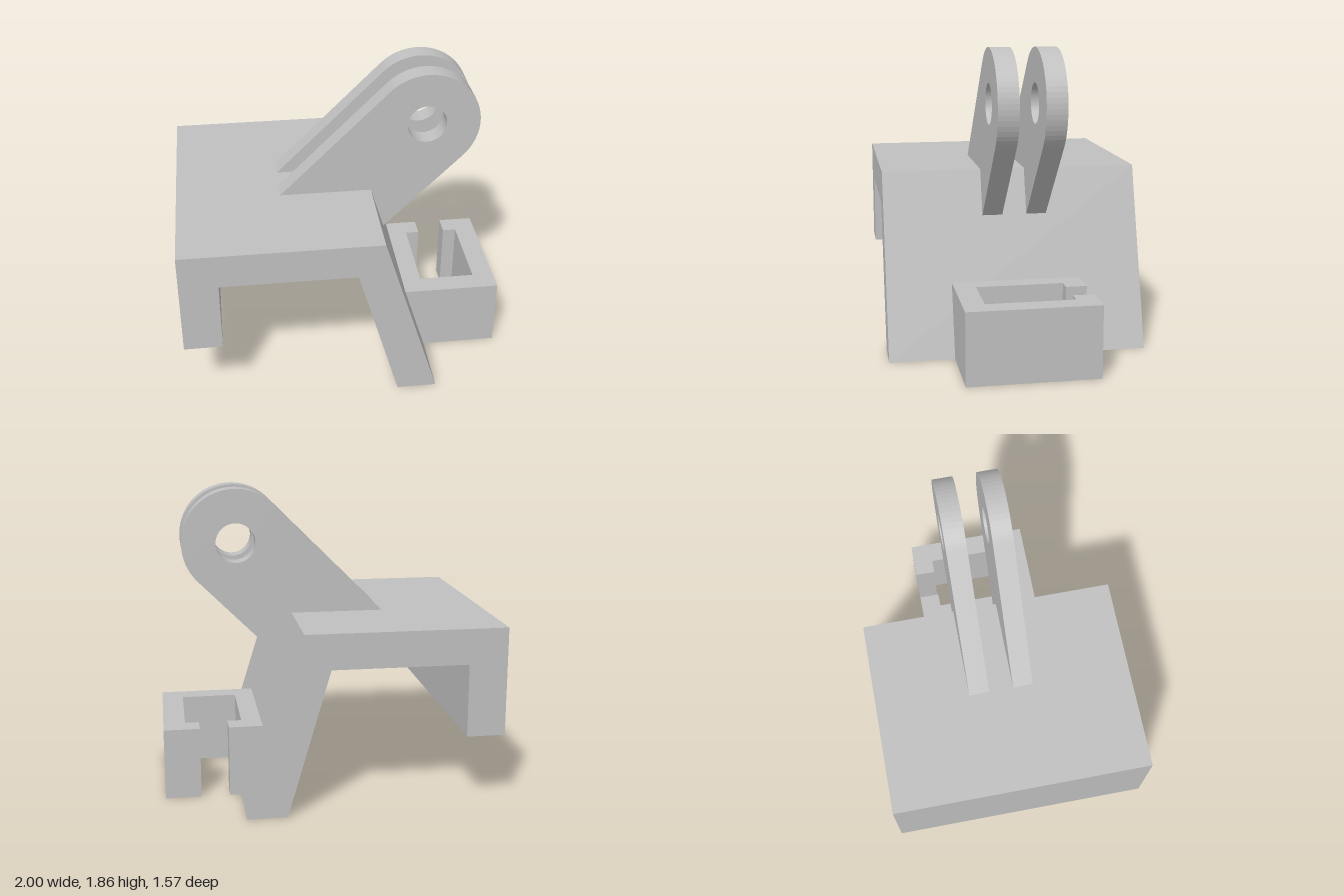
import * as THREE from 'three';

const grey = new THREE.MeshStandardMaterial({ name: 'plain grey', color: 0xc0c0c0 });

function polygon(points) {
  return new THREE.Shape(points.map(([x, y]) => new THREE.Vector2(x, y)));
}

// Extrudes an x-y shape from z0 to z1
function slab(name, shape, z0, z1) {
  const geometry = new THREE.ExtrudeGeometry(shape, {
    depth: z1 - z0, bevelEnabled: false, curveSegments: 16,
  });
  geometry.translate(0, 0, z0);
  const mesh = new THREE.Mesh(geometry, grey);
  mesh.name = name;
  return mesh;
}

export function createModel() {
  const model = new THREE.Group();
  model.name = 'mountingBracket';

  // Bent plate: short rear leg, flat top, sloping front leg
  model.add(slab('bentPlate', polygon([
    [-1, 0.44], [-0.77, 0.44], [-0.77, 0.88], [0.04, 0.88],
    [0.295, 0], [0.535, 0], [0.195, 1.093], [-1, 1.093],
  ]), -0.785, 0.785));

  // Twin lugs: 45 degree bars with a rounded, drilled end, rooted in the plate
  const cx = 0.53, cy = 1.53, radius = 0.325, hole = 0.12;
  const lug = new THREE.Shape();
  lug.moveTo(-0.42, 1.04);
  lug.lineTo(0.15, 1.04);
  lug.lineTo(0.25, 0.79);
  lug.absarc(cx, cy, radius, -Math.PI / 4, Math.PI * 3 / 4, false);
  lug.closePath();
  const bore = new THREE.Path();
  bore.absarc(cx, cy, hole, 0, Math.PI, false);
  bore.absarc(cx, cy, hole, Math.PI, Math.PI * 2, false);
  lug.holes.push(bore);
  model.add(slab('frontLug', lug, 0.06, 0.183));
  model.add(slab('backLug', lug, -0.213, -0.09));

  // Square clip with a slot through its back wall, extruded upwards
  const clip = slab('slottedClip', polygon([
    [0.33, -0.39], [0.997, -0.39], [0.997, 0.397], [0.78, 0.397], [0.78, 0.27],
    [0.865, 0.27], [0.865, -0.26], [0.52, -0.26], [0.52, 0.27],
    [0.605, 0.27], [0.605, 0.397], [0.33, 0.397],
  ]), 0, 0.436);
  clip.geometry.rotateX(-Math.PI / 2);
  model.add(clip);

  return model;
}
